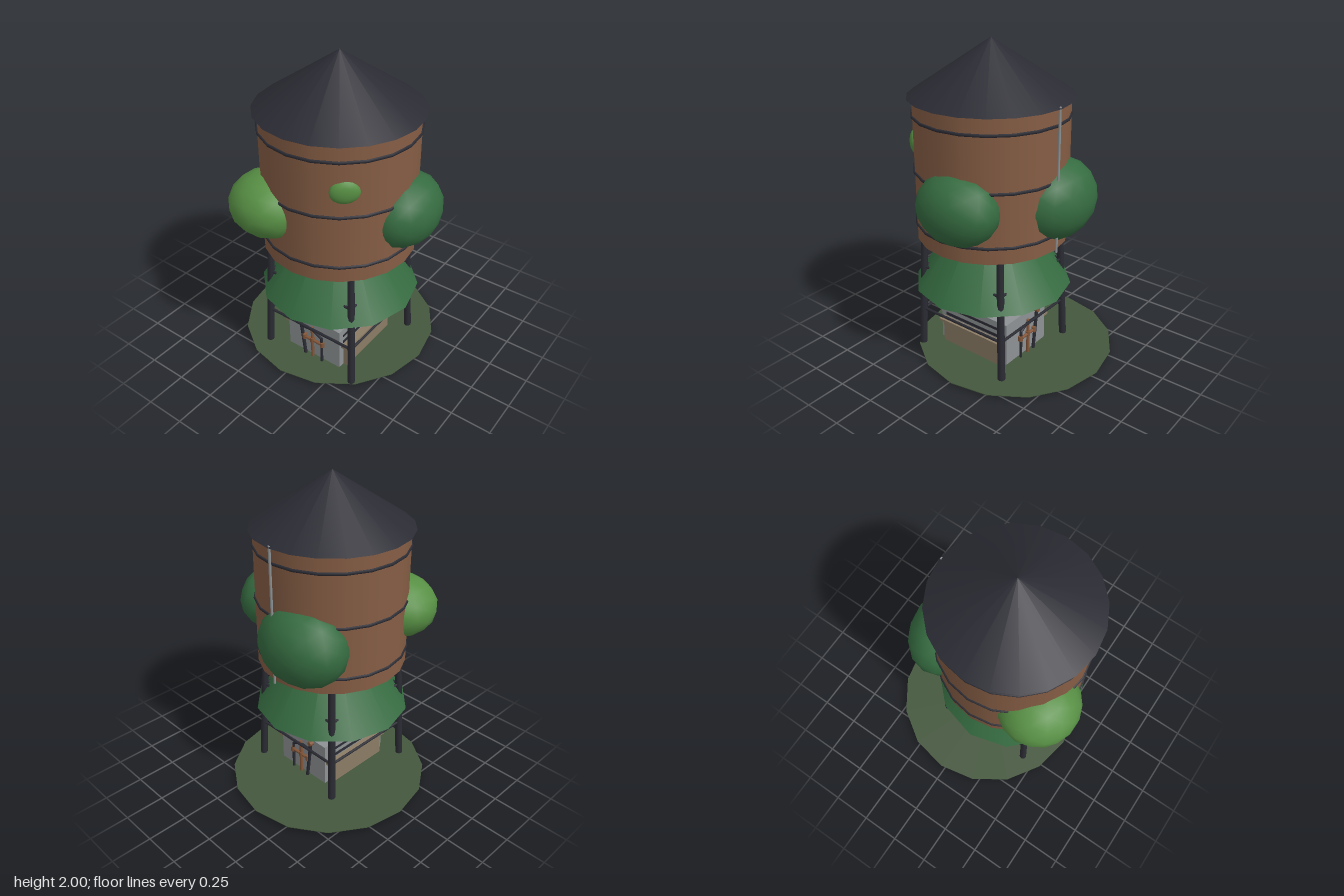
import * as THREE from 'three';

const CX = -0.085, CZ = 0.057; // tower axis

const mat = (name, color) => {
  const m = new THREE.MeshStandardMaterial({ color });
  m.name = name;
  return m;
};

export function createModel() {
  const root = new THREE.Group();
  root.name = 'waterTower';
  const wood = mat('brown wood', 0x855d44);
  const dark = mat('dark metal', 0x2b2b34);
  const leaf = mat('dark leaf', 0x356b40);
  const lightLeaf = mat('light leaf', 0x578f44);
  const grass = mat('ground green', 0x44573d);
  const grey = mat('grey concrete', 0x8e9294);
  const tan = mat('tan stone', 0x8a7b65);
  const copper = mat('copper', 0x85573a);

  const add = (name, geo, m, x = 0, y = 0, z = 0, parent = root) => {
    const mesh = new THREE.Mesh(geo, m);
    mesh.name = name;
    mesh.position.set(x, y, z);
    parent.add(mesh);
    return mesh;
  };
  // box given by its minimum and maximum corners
  const box = (name, m, a, b) => add(name,
    new THREE.BoxGeometry(b[0] - a[0], b[1] - a[1], b[2] - a[2]), m,
    (a[0] + b[0]) / 2, (a[1] + b[1]) / 2, (a[2] + b[2]) / 2);
  // round bar between two points
  const bar = (name, m, a, b, r0, r1 = r0, sides = 8) => {
    const p = new THREE.Vector3(...a), q = new THREE.Vector3(...b);
    const d = q.clone().sub(p);
    const mesh = add(name, new THREE.CylinderGeometry(r1, r0, d.length(), sides), m);
    mesh.position.copy(p).add(q).multiplyScalar(0.5);
    mesh.quaternion.setFromUnitVectors(new THREE.Vector3(0, 1, 0), d.normalize());
    return mesh;
  };
  const blob = (name, m, pos, radii, turn = 0) => {
    const mesh = add(name, new THREE.IcosahedronGeometry(1.03, 2), m, ...pos);
    mesh.scale.set(...radii);
    mesh.rotation.y = turn;
    return mesh;
  };

  // ground
  add('ground', new THREE.CylinderGeometry(0.631, 0.631, 0.004, 16), grass, 0.03, 0.016, -0.028);

  // tank with hoops and roof
  add('tank', new THREE.CylinderGeometry(0.465, 0.465, 0.875, 20), wood, CX, 1.2425, CZ);
  for (const y of [0.905, 1.235, 1.57]) {
    const hoop = add('hoop', new THREE.TorusGeometry(0.465, 0.01, 6, 20), dark, CX, y, CZ);
    hoop.rotation.x = Math.PI / 2;
  }
  add('roof', new THREE.ConeGeometry(0.493, 0.33, 20), dark, CX, 1.835, CZ);
  bar('drainPipe', grey, [0.395, 0.8, CZ], [0.395, 1.68, CZ], 0.008);

  // legs and braces
  const spread = (y) => 0.328 - 0.036 * y;
  const corner = (i, y) => {
    const s = [[1, 1], [-1, 1], [-1, -1], [1, -1]][i % 4];
    return [CX + s[0] * spread(y), y, CZ + s[1] * spread(y)];
  };
  for (let i = 0; i < 4; i++) {
    bar('leg', dark, corner(i, 0.005), corner(i, 0.83), 0.024, 0.021);
    for (const y of [0.272, 0.575]) bar('brace', dark, corner(i, y), corner(i + 1, y), 0.009, 0.009, 6);
  }

  // tree under the tank
  add('canopy', new THREE.ConeGeometry(0.493, 0.72, 12), leaf, CX, 0.83, CZ);
  bar('trunk', wood, [-0.073, 0.3, 0.05], [-0.073, 0.55, 0.05], 0.055, 0.052, 12);

  // foliage clumps around the tank
  blob('frontBush', leaf, [-0.005, 1.11, 0.46], [0.26, 0.212, 0.2]);
  blob('leftBush', leaf, [0.28, 1.075, -0.075], [0.23, 0.245, 0.295]);
  blob('rightBush', lightLeaf, [-0.42, 1.125, -0.18], [0.24, 0.19, 0.25]);
  blob('lowLeaf', leaf, [0.25, 0.84, -0.045], [0.07, 0.05, 0.1]);
  blob('leafPatch', lightLeaf, [-0.43, 1.39, 0.345], [0.085, 0.07, 0.035], -0.8);

  // hut with front and back counters
  box('hut', grey, [-0.36, 0.006, -0.145], [0.178, 0.305, 0.255]);
  box('counter', tan, [-0.318, 0.008, -0.175], [0.148, 0.168, 0.285]);
  box('counterTop', tan, [-0.34, 0.168, -0.192], [0.17, 0.184, 0.305]);
  for (const z of [0.2555, -0.1455]) {
    box('slat', dark, [-0.32, 0.195, z - 0.003], [0.146, 0.215, z + 0.003]);
    box('slat', dark, [-0.32, 0.245, z - 0.003], [0.146, 0.262, z + 0.003]);
  }
  add('drain', new THREE.CylinderGeometry(0.05, 0.05, 0.006, 12), dark, CX, 0.003, CZ);

  // stepped collar around the trunk
  const collar = [[0.165, 0.3], [0.165, 0.318], [0.12, 0.33], [0.115, 0.35], [0.09, 0.368], [0.04, 0.37]]
    .map((p) => new THREE.Vector2(...p));
  add('collar', new THREE.LatheGeometry(collar, 16), dark, -0.08, 0, 0.05);
  for (let i = 0; i < 6; i++) {
    const a = i * Math.PI / 3 + 0.3;
    blob('tuft', lightLeaf, [-0.08 + 0.17 * Math.cos(a), 0.31, 0.05 + 0.16 * Math.sin(a)], [0.04, 0.02, 0.03], a);
  }

  // pipework on both side walls
  for (const s of [-1, 1]) {
    const x = -0.091 + s * 0.287;
    bar('riser', copper, [x, 0.02, 0.057], [x, 0.26, 0.057], 0.01);
    bar('crossPipe', copper, [x, 0.155, 0.135], [x, 0.155, -0.005], 0.01);
    bar('pipeCap', copper, [x - 0.015, 0.29, -0.035], [x + 0.015, 0.29, -0.035], 0.016);
    for (const z of [0.135, 0.057, -0.005]) bar('valve', copper, [x, 0.14, z], [x, 0.175, z], 0.015);
    bar('hose', dark, [x, 0.01, 0.13], [x, 0.205, 0.13], 0.009);
    bar('hose', dark, [x, 0.205, 0.13], [x, 0.24, 0.06], 0.009);
    bar('hose', dark, [x, 0.24, 0.06], [x, 0.235, -0.02], 0.009);
    bar('hose', dark, [x, 0.01, 0], [x, 0.29, -0.035], 0.011);
  }
  return root;
}
